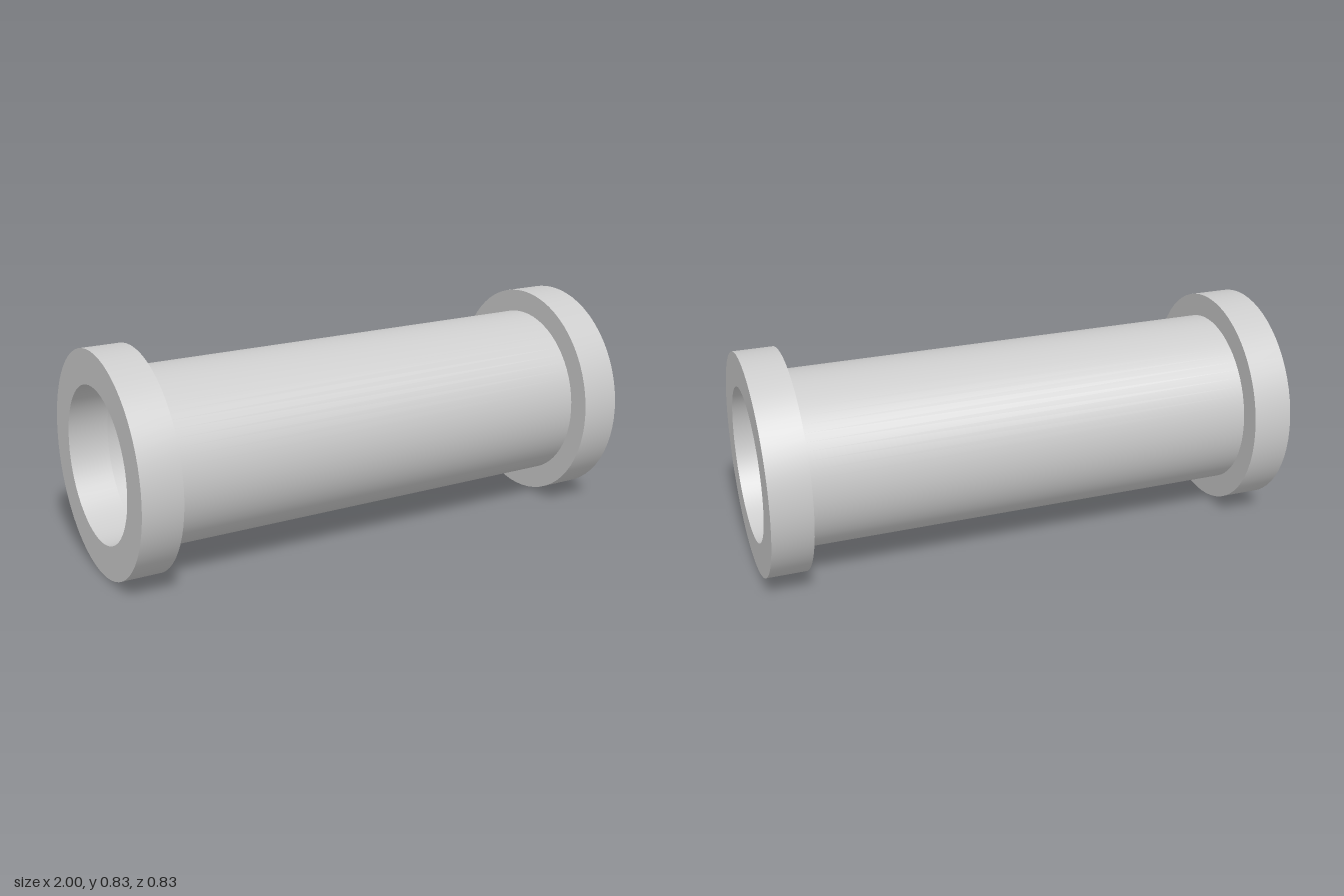
import * as THREE from 'three';
import { toCreasedNormals } from 'three/addons/utils/BufferGeometryUtils.js';

const FLANGE_R = 0.414, BARREL_R = 0.328, BORE_R = 0.287;
const HALF = 1, SHOULDER = 0.85, SIDES = 64;

// Revolves a [radius, height] profile, keeping its corners sharp
function revolve(profile) {
  const points = profile.map(([r, h]) => new THREE.Vector2(r, h));
  return toCreasedNormals(new THREE.LatheGeometry(points, SIDES), Math.PI / 6);
}

export function createModel() {
  const group = new THREE.Group();
  group.name = 'flangedSleeve';
  const material = new THREE.MeshStandardMaterial({ color: 0xcccccc });

  // Adds a revolved part, laid along x
  function add(name, geometry, turn) {
    const mesh = new THREE.Mesh(geometry, material);
    mesh.name = name;
    mesh.rotation.z = turn;
    mesh.position.y = FLANGE_R;
    group.add(mesh);
  }

  // Barrel: outer wall and bore, its ends closed by the flanges
  add('barrelOuter', revolve([[BARREL_R, -SHOULDER], [BARREL_R, SHOULDER]]), -Math.PI / 2);
  add('barrelBore', revolve([[BORE_R, SHOULDER], [BORE_R, -SHOULDER]]), -Math.PI / 2);

  // Flanges: shoulder face, rim, end face and bore
  const flange = revolve([
    [BARREL_R, SHOULDER], [FLANGE_R, SHOULDER], [FLANGE_R, HALF],
    [BORE_R, HALF], [BORE_R, SHOULDER],
  ]);
  add('leftFlange', flange, -Math.PI / 2);
  add('rightFlange', flange, Math.PI / 2);

  return group;
}
